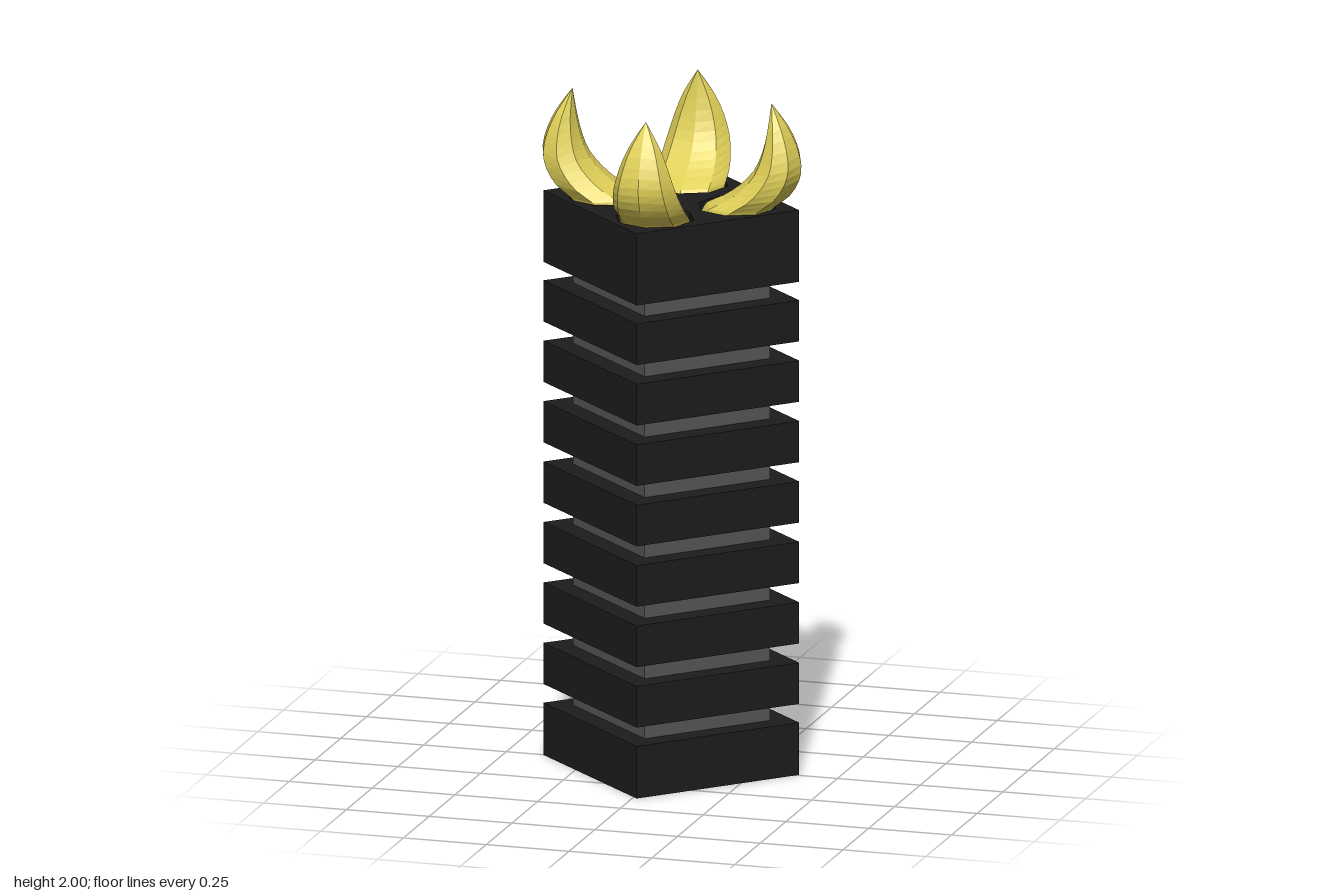
import * as THREE from 'three';

const black = new THREE.MeshStandardMaterial({ color: 0x1c1c1c, flatShading: true });
const grey = new THREE.MeshStandardMaterial({ color: 0x555555, flatShading: true });
const yellow = new THREE.MeshStandardMaterial({ color: 0xe0d058, flatShading: true });

// heading of each horn around the vertical axis, radians
const HORN_ANGLES = [0.01, Math.PI / 2 + 0.05, Math.PI, -Math.PI / 2 + 0.05];
const SIDES = 8;

// square plan, corners towards the axes, as [x, z]
const CORNERS = [[0.013, 0.384], [0.383, -0.006], [-0.013, -0.384], [-0.387, 0.002]];

function slab(name, y0, y1, scale, material, holes = []) {
  const shape = new THREE.Shape(CORNERS.map(([x, z]) => new THREE.Vector2(x * scale, -z * scale)));
  shape.holes.push(...holes);
  const geo = new THREE.ExtrudeGeometry(shape, { depth: y1 - y0, bevelEnabled: false });
  geo.rotateX(-Math.PI / 2);
  const mesh = new THREE.Mesh(geo, material);
  mesh.name = name;
  mesh.position.y = y0;
  return mesh;
}

// octagonal recess that a horn stands in
function socket(angle) {
  const pts = [];
  for (let i = 0; i < SIDES; i++) {
    const a = (i / SIDES) * Math.PI * 2;
    const p = new THREE.Vector2(0.197 + 0.117 * Math.cos(a), 0.117 * Math.sin(a));
    pts.push(p.rotateAround(new THREE.Vector2(), angle));
  }
  return new THREE.Path(pts);
}

// horn leaning outward along +x and hooking back to an upright tip
function hornGeometry() {
  const inner = new THREE.CatmullRomCurve3([
    [0.09, 1.665], [0.105, 1.69], [0.155, 1.715], [0.205, 1.75], [0.247, 1.795],
    [0.272, 1.85], [0.288, 1.915], [0.3, 2],
  ].map(([x, y]) => new THREE.Vector3(x, y, 0)));
  // z carries the half width
  const outer = new THREE.CatmullRomCurve3([
    [0.29, 1.665, 0.103], [0.308, 1.69, 0.106], [0.355, 1.728, 0.106], [0.384, 1.777, 0.1],
    [0.39, 1.822, 0.09], [0.376, 1.877, 0.073], [0.347, 1.935, 0.047], [0.3, 2, 0],
  ].map((p) => new THREE.Vector3(...p)));
  const rings = 14;
  const pos = [], index = [];
  for (let r = 0; r <= rings; r++) {
    const p = inner.getPoint(r / rings), q = outer.getPoint(r / rings);
    for (let s = 0; s < SIDES; s++) {
      const a = (s / SIDES) * Math.PI * 2;
      const t = 0.5 + 0.5 * Math.cos(a);
      pos.push(p.x + (q.x - p.x) * t, p.y + (q.y - p.y) * t, q.z * Math.sin(a));
      if (r === rings) continue;
      const i = r * SIDES + s, j = r * SIDES + ((s + 1) % SIDES);
      index.push(i, i + SIDES, j);
      if (r < rings - 1) index.push(j, i + SIDES, j + SIDES);
    }
  }
  const geo = new THREE.BufferGeometry();
  geo.setAttribute('position', new THREE.Float32BufferAttribute(pos, 3));
  geo.setIndex(index);
  geo.computeVertexNormals();
  return geo;
}

export function createModel() {
  const model = new THREE.Group();
  model.name = 'hornedTower';

  // thick base, inner core, and evenly spaced plates
  model.add(slab('base', 0, 0.156, 1, black));
  model.add(slab('core', 0.1, 1.52, 0.77, grey));
  for (let i = 0; i < 7; i++) {
    const y = 0.212 + i * 0.1805;
    model.add(slab('plate', y, y + 0.123, 1, black));
  }

  // thick top with a recess for each horn
  model.add(slab('topBlock', 1.473, 1.665, 1, black));
  model.add(slab('topRim', 1.665, 1.687, 1, black, HORN_ANGLES.map((a) => socket(a))));

  // four horns, one per corner
  const geo = hornGeometry();
  for (const angle of HORN_ANGLES) {
    const horn = new THREE.Mesh(geo, yellow);
    horn.name = 'horn';
    horn.rotation.y = angle;
    model.add(horn);
  }
  return model;
}
